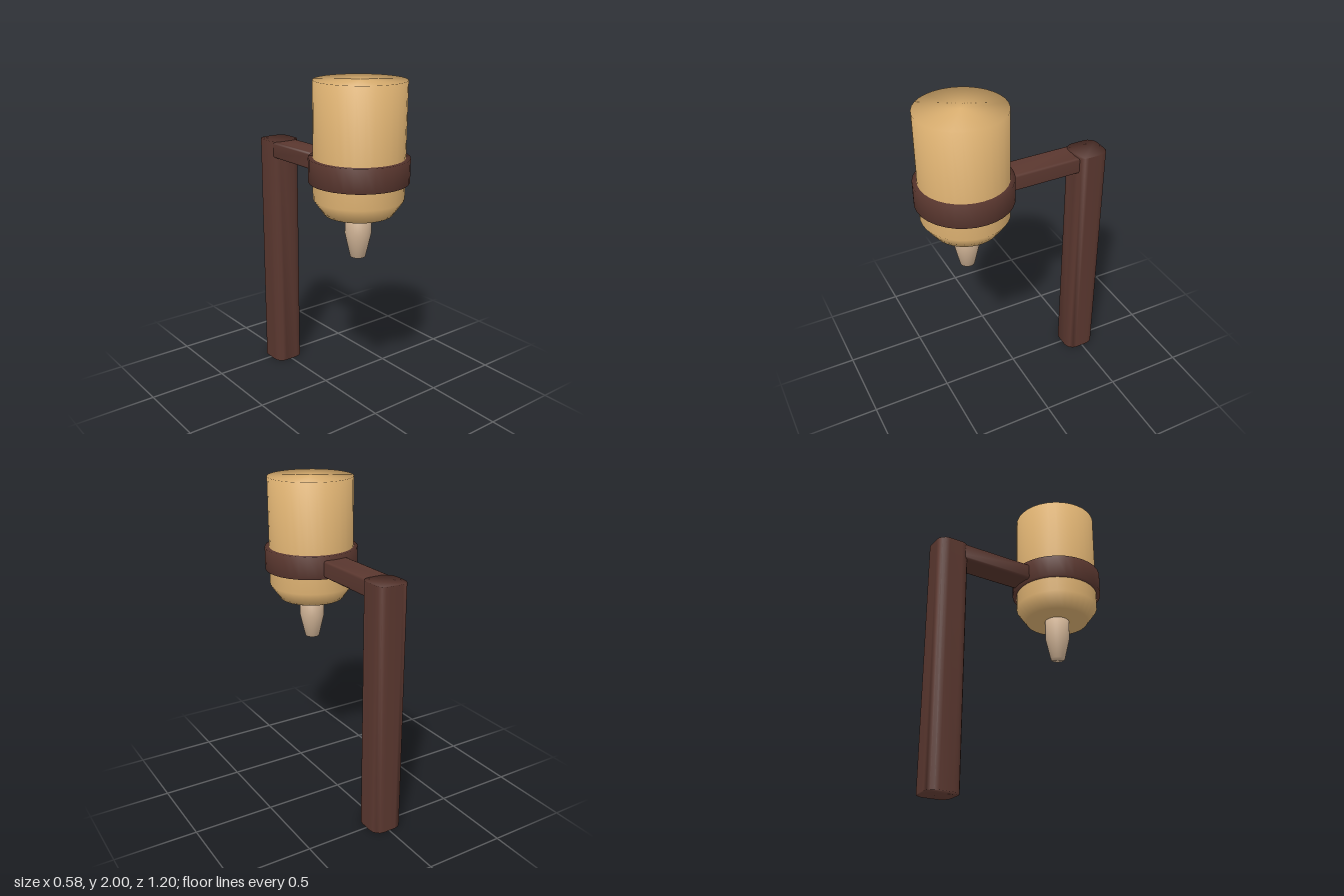
import * as THREE from 'three';
import { mergeVertices } from 'three/addons/utils/BufferGeometryUtils.js';

const AXIS_Z = 0.31; // vertical axis of the tank, collar and nozzle

function material(name, color) {
  const m = new THREE.MeshStandardMaterial({ color });
  m.name = name;
  return m;
}

// Turned part from [radius, height] points, listed bottom to top
function turned(name, points, mat) {
  const profile = points.map(([r, y]) => new THREE.Vector2(r, y));
  const mesh = new THREE.Mesh(new THREE.LatheGeometry(profile, 32), mat);
  mesh.name = name;
  mesh.position.z = AXIS_Z;
  return mesh;
}

// Softly shaded beam along +z: a w x h rectangle with rounded corners
function beam(w, h, length, r, steps) {
  const shape = new THREE.Shape();
  const corners = [[1, 1], [-1, 1], [-1, -1], [1, -1]];
  corners.forEach(([sx, sy], i) => {
    const a = i * Math.PI / 2;
    shape.absarc(sx * (w / 2 - r), sy * (h / 2 - r), r, a, a + Math.PI / 2, false);
  });
  shape.closePath();
  const geo = new THREE.ExtrudeGeometry(shape, { depth: length, bevelEnabled: false, curveSegments: steps });
  geo.deleteAttribute('normal');
  geo.deleteAttribute('uv');
  const merged = mergeVertices(geo, 1e-4);
  merged.computeVertexNormals();
  return merged;
}

export function createModel() {
  const group = new THREE.Group();
  const tan = material('warm tan', 0xdeb272);
  const beige = material('pale beige', 0xd2b597);
  const brown = material('dark brown', 0x5a372f);

  // Tank with a chamfered foot and flat lid
  group.add(turned('tank', [[0, 1.24], [0.2, 1.24], [0.263, 1.33], [0.263, 2], [0, 2]], tan));

  // Collar around the tank
  group.add(turned('collar', [[0.25, 1.43], [0.29, 1.43], [0.29, 1.57], [0.25, 1.57]], brown));

  // Tapered nozzle
  group.add(turned('nozzle', [[0, 0.975], [0.045, 0.975], [0.078, 1.12], [0.078, 1.26], [0, 1.26]], beige));

  // Upright post
  const post = new THREE.Mesh(beam(0.2, 0.205, 1.545, 0.06, 2), brown);
  post.name = 'post';
  post.rotation.x = -Math.PI / 2;
  post.position.set(0, 0, -0.495);
  group.add(post);

  // Arm from post to collar
  const arm = new THREE.Mesh(beam(0.167, 0.105, 0.54, 0.015, 1), brown);
  arm.name = 'arm';
  arm.position.set(-0.009, 1.492, -0.5);
  group.add(arm);

  return group;
}
